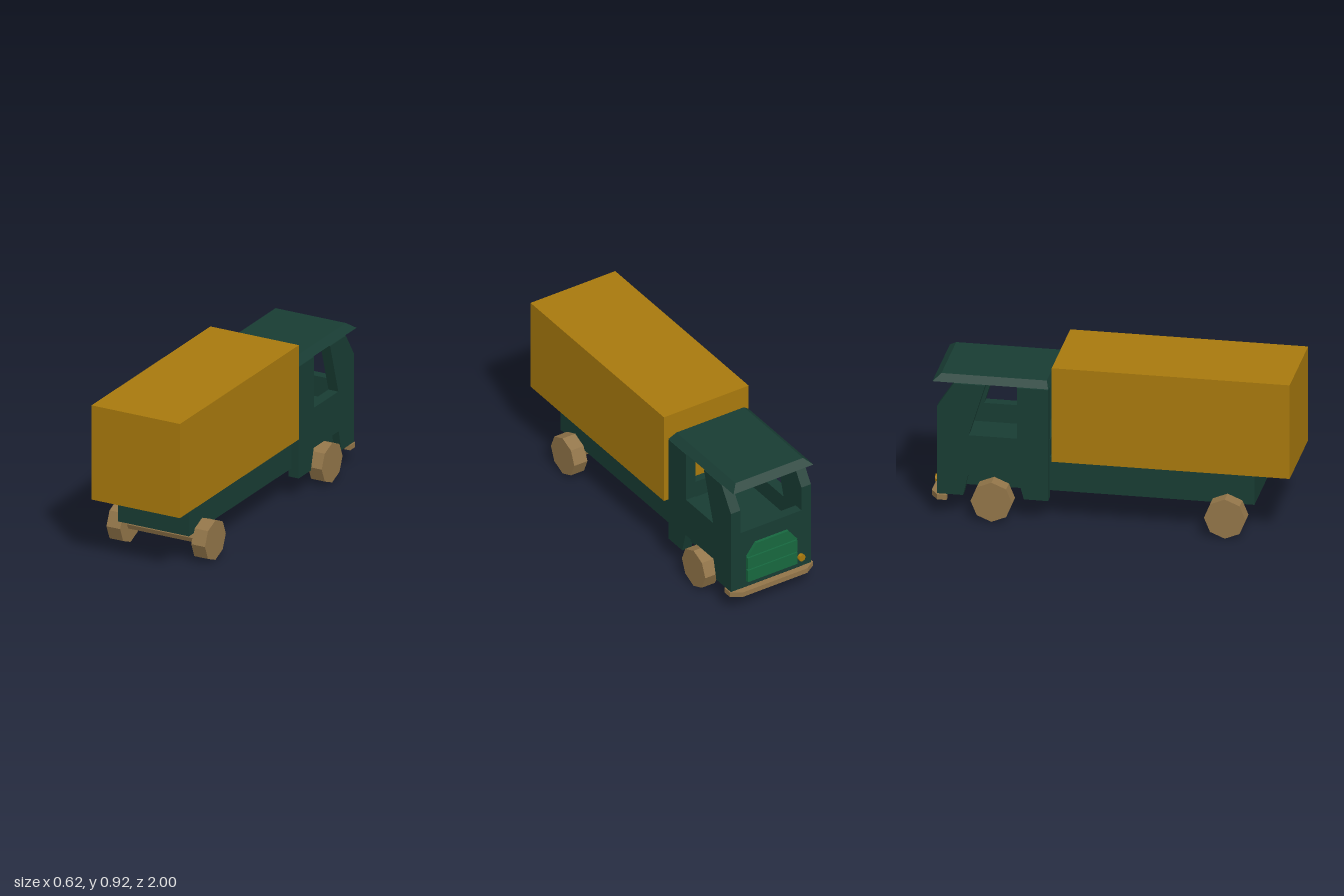
import * as THREE from 'three';

const paint = (color) => new THREE.MeshStandardMaterial({ color, flatShading: true });

export function createModel() {
  const truck = new THREE.Group();
  truck.name = 'boxTruck';
  const green = paint(0x183c33), yellow = paint(0xa8790d);
  const tan = paint(0x927549), bright = paint(0x17683f);
  const cx = 0.008; // body centre line

  const add = (name, geometry, material) => {
    const mesh = new THREE.Mesh(geometry, material);
    mesh.name = name;
    truck.add(mesh);
    return mesh;
  };
  // box given by its low and high limits on each axis
  const span = ([x0, x1], [y0, y1], [z0, z1]) =>
    new THREE.BoxGeometry(x1 - x0, y1 - y0, z1 - z0)
      .translate((x0 + x1) / 2, (y0 + y1) / 2, (z0 + z1) / 2);
  const outline = (points) => new THREE.Shape(points.map(([a, b]) => new THREE.Vector2(a, b)));
  const extrude = (points, depth) =>
    new THREE.ExtrudeGeometry(outline(points), { depth, bevelEnabled: false });

  // cargo box and chassis
  add('cargoBox', span([-0.27, 0.285], [0.365, 0.92], [-0.322, 1]), yellow);
  add('chassis', span([-0.218, 0.225], [0.174, 0.37], [-0.92, 0.795]), green);

  // cab sides: [z, y] outline with wheel arch and a window open at the top
  const side = [
    [-0.345, 0.123], [-0.48, 0.123], [-0.513, 0.245], [-0.79, 0.245], [-0.818, 0.123],
    [-0.962, 0.123], [-0.962, 0.64], [-0.87, 0.78], [-0.695, 0.78], [-0.786, 0.48],
    [-0.518, 0.48], [-0.518, 0.78], [-0.345, 0.78],
  ];
  const thick = 0.062;
  for (const [name, outerX] of [['cabSideLeft', 0.27], ['cabSideRight', -0.254 + thick]]) {
    add(name, extrude(side, thick).rotateY(-Math.PI / 2).translate(outerX, 0, 0), green);
  }

  // cab front and low rear wall
  add('cabFront', span([-0.193, 0.209], [0.123, 0.49], [-0.962, -0.905]), green);
  add('cabRearWall', span([-0.218, 0.225], [0.174, 0.47], [-0.39, -0.342]), green);

  // roof: a slab whose top is drawn in
  const roof = span([-0.254, 0.27], [0.785, 0.82], [-0.988, -0.345]);
  const p = roof.attributes.position;
  for (let i = 0; i < p.count; i++) {
    if (p.getY(i) < 0.8) continue;
    p.setX(i, p.getX(i) < 0 ? -0.213 : 0.228);
    p.setZ(i, p.getZ(i) < -0.6 ? -0.945 : -0.36);
  }
  add('roof', roof, green);

  // wheels and axles
  for (const [name, z] of [['rear', 0.647], ['front', -0.65]]) {
    for (const [label, x] of [['Left', 0.265], ['Right', -0.267]]) {
      const wheel = new THREE.CylinderGeometry(0.116, 0.116, 0.086, 8).rotateZ(Math.PI / 2);
      add(`${name}Wheel${label}`, wheel.translate(x, 0.116, z), tan);
    }
    const axle = new THREE.CylinderGeometry(0.04, 0.04, 0.46, 8).rotateZ(Math.PI / 2);
    add(`${name}Axle`, axle.translate(0, 0.118, z), tan);
  }

  // bumper: [x, z] outline wrapping round the corners
  const half = [[0.21, -1], [0.272, -0.96], [0.272, -0.907], [0.235, -0.907], [0.235, -0.945], [0.2, -0.962]];
  const bumper = [...half, ...half.map(([x, z]) => [-x, z]).reverse()];
  add('bumper', extrude(bumper, 0.03).rotateX(Math.PI / 2).translate(cx - 0.004, 0.122, 0), tan);

  // grille: three slats, the top one with cut corners
  for (const [y0, y1, top] of [[0.16, 0.236, 0.162], [0.243, 0.318, 0.162], [0.326, 0.4, 0.105]]) {
    const slat = [[-0.162, y0], [0.162, y0], [top, y1], [-top, y1]];
    add('grilleSlat', extrude(slat, 0.022).translate(cx, 0, -0.98), bright);
  }

  // small lamp beside the grille
  const lamp = new THREE.CylinderGeometry(0.021, 0.021, 0.025, 8).rotateX(Math.PI / 2);
  add('lamp', lamp.translate(-0.185, 0.187, -0.97), yellow);

  return truck;
}
